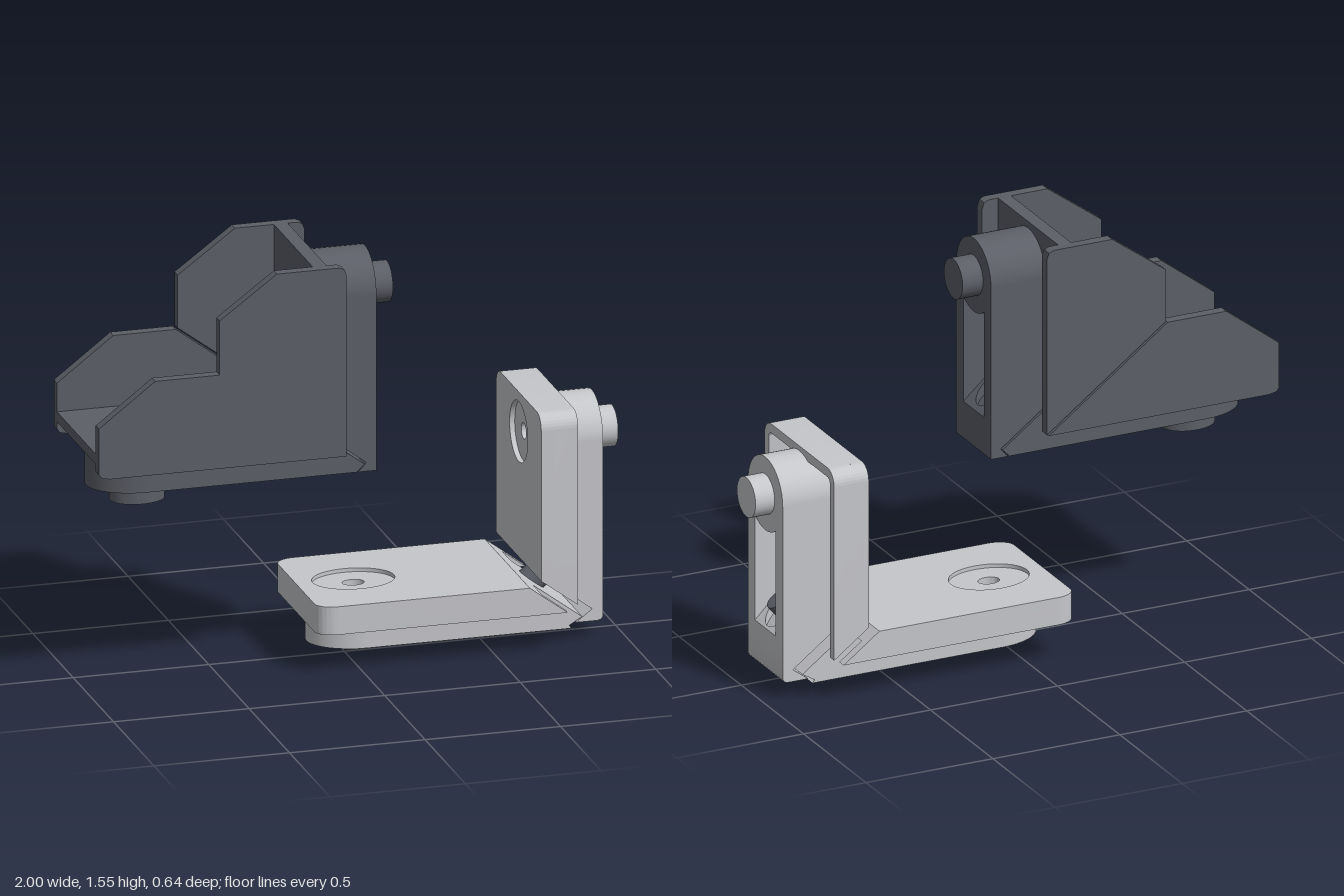
import * as THREE from 'three';
import { toCreasedNormals } from 'three/addons/utils/BufferGeometryUtils.js';

const STRETCH = 1.34; // the brackets are stretched along x
const BODY = 0.14, SLOT = 0.083, PLATE = 0.28;

// Every leg is drawn in (d, u): d = depth inward from the outer face, u = distance from the corner.
const poly = (pts) => new THREE.Shape(pts.map(([a, b]) => new THREE.Vector2(a, b)));

const extrude = (shape, depth) => toCreasedNormals(
  new THREE.ExtrudeGeometry(shape, { depth, bevelEnabled: false, curveSegments: 20 }), 0.6);

// Side profile in (d, u), given a width across z
function profile(pts, width, z = 0) {
  return extrude(poly(pts.map(([d, u]) => [-d, u])), width).translate(0, 0, z - width / 2);
}

// Face outline in (z, u), extruded through the depth d0..d1
function facing(shape, d0, d1) {
  return extrude(shape, d1 - d0).translate(0, 0, d0).rotateY(-Math.PI / 2);
}

// Round peg along the depth axis
function peg(r, d0, d1, u) {
  return new THREE.CylinderGeometry(r, r, d1 - d0, 40).rotateZ(Math.PI / 2).translate(-(d0 + d1) / 2, u, 0);
}

function circle(r, x, y) {
  return new THREE.Path().absarc(x, y, r, 0, Math.PI * 2, true);
}

// Upright tab with two rounded upper corners
function tab(w, u0, u1, r) {
  const s = new THREE.Shape();
  s.moveTo(w, u0);
  s.lineTo(w, u1 - r);
  s.absarc(w - r, u1 - r, r, 0, Math.PI / 2, false);
  s.absarc(r - w, u1 - r, r, Math.PI / 2, Math.PI, false);
  s.lineTo(-w, u0);
  return s;
}

function makeLeg(name, material, o) {
  const leg = new THREE.Group();
  leg.name = name;
  const place = new THREE.Matrix4().makeTranslation(o.x, o.y, o.z)
    .multiply(new THREE.Matrix4().makeScale(STRETCH, 1, 1));
  // The lying leg is the upright one turned over the mitre
  if (o.lying) {
    place.multiply(new THREE.Matrix4().makeBasis(
      new THREE.Vector3(0, -1, 0), new THREE.Vector3(-1, 0, 0), new THREE.Vector3(0, 0, -1)));
  }
  const add = (part, geometry) => {
    const mesh = new THREE.Mesh(geometry.applyMatrix4(place), material);
    mesh.name = part;
    leg.add(mesh);
  };
  const { c, D, p, b, g, E } = o;
  const s = c - 0.515, ramp = c - 0.379, h = 0.045;

  // Mitred foot and slot floor
  add('foot', profile([...o.hook, [p, p + g], [p, c], [b, c], [b, ramp - h], [0, s - h]], BODY * 2));

  // Slot cheeks
  for (const side of [-1, 1]) {
    const w = BODY - SLOT;
    add('slotCheek', profile([[0, s - h], [b, ramp - h], [b, c], [0, c]], w, side * (SLOT + w / 2)));
  }

  // Sloped screw seat with a hole
  const seat = poly([[-SLOT, 0], [SLOT, 0], [SLOT, b], [-SLOT, b]]);
  seat.holes.push(new THREE.Path().absellipse(0, b / 2, 0.064, 0.044, 0, Math.PI * 2, true));
  add('screwSeat', extrude(seat, h).applyMatrix4(new THREE.Matrix4().makeBasis(
    new THREE.Vector3(0, 0, -1), new THREE.Vector3(-1, (ramp - s) / b, 0), new THREE.Vector3(0, 1, 0))
    .setPosition(0, s - h, 0)));

  // Rounded boss and its peg
  add('boss', peg(BODY, 0, p, c));
  add('peg', peg(0.075, -o.peg, 0.01, c));

  if (o.walls) {
    // Flat plate between two stepped side walls
    add('plate', profile([[p, p + g], [D, D + g], [D, E], [p, E]], PLATE * 2 - 0.04));
    for (const front of [1, -1]) {
      const gap = front > 0 ? 0 : g;
      const side = o.lying ? -front : front;
      add('sideWall', profile([[b, b + gap], [0.463, 0.463 + gap], [0.463, E - 0.155], [0.305, E],
        [b + 0.02, E], [b + 0.006, E - 0.008], [b, E - 0.03]], 0.04, side * (PLATE - 0.02)));
    }
  } else {
    // Tray plate: mitred strip, face with a round recess, and a rim behind it
    const u0 = D + g, r = 0.055, lip = 0.035, deep = 0.014;
    add('plateMitre', profile([[p, p + g], [D, u0], [p, u0]], PLATE * 2));
    const layers = [[p, D - deep, 0.03], [D - deep, D, 0.112]];
    for (const [d0, d1, hole] of layers) {
      const face = tab(PLATE, u0, E, r);
      face.holes.push(circle(hole, 0, c + 0.01));
      add('plateFace', facing(face, d0, d1));
    }
    const rim = [...tab(PLATE, u0, E, r).getPoints(12),
      ...tab(PLATE - lip, u0, E - lip, r - lip).getPoints(12).reverse()];
    add('rim', facing(new THREE.Shape(rim), b, p));
    for (const side of [-1, 1]) {
      add('rimMitre', profile([[b, b + g], [p, p + g], [p, u0], [b, u0]], lip, side * (PLATE - lip / 2)));
    }
  }
  return leg;
}

export function createModel() {
  const dark = new THREE.MeshStandardMaterial({ color: 0x5c5f67 });
  dark.name = 'dark grey';
  const light = new THREE.MeshStandardMaterial({ color: 0xc6c7cb });
  light.name = 'light grey';

  const model = new THREE.Group();
  model.name = 'cornerBrackets';

  // Dark walled bracket
  const walled = new THREE.Group();
  walled.name = 'walledBracket';
  const shared = { x: 0.065, y: 0.73, z: 0.04, D: 0.198, p: 0.16, b: 0.113, g: 0.005, walls: true };
  walled.add(
    makeLeg('uprightLeg', dark, { ...shared, c: 0.655, E: 0.82, peg: 0.06,
      hook: [[0, 0], [0.05, 0], [0.028, 0.033]] }),
    makeLeg('lyingLeg', dark, { ...shared, c: 0.629, E: 0.795, peg: 0.065, lying: true,
      hook: [[0, 0.054], [0.028, 0.033]] }));

  // Light tray bracket
  const tray = new THREE.Group();
  tray.name = 'trayBracket';
  tray.add(
    makeLeg('uprightLeg', light, { x: 0.925, y: 0.06, z: -0.04, D: 0.2015, p: 0.165, b: 0.1, g: 0.015,
      c: 0.675, E: 0.833, peg: 0.056, hook: [[0, 0.015], [0.005, 0.004], [0.015, 0], [0.075, 0], [0.03, 0.045]] }),
    makeLeg('lyingLeg', light, { x: 0.885, y: 0.04, z: -0.04, D: 0.215, p: 0.175, b: 0.11, g: -0.012,
      c: 0.617, E: 0.784, peg: 0.025, lying: true, hook: [[0, 0.078], [0.04, 0.028]] }));

  // Diagonal screw joining the two light legs
  const screw = new THREE.Group();
  screw.name = 'screw';
  const sections = [['screwHead', 0.075, 0.075, 0, 0.05], ['screwNeck', 0.045, 0.075, 0.05, 0.08],
    ['screwShaft', 0.045, 0.045, 0.08, 0.34], ['screwTip', 0.036, 0.045, 0.34, 0.38]];
  for (const [name, top, bottom, a, z] of sections) {
    const g = new THREE.CylinderGeometry(top, bottom, z - a, 32).translate(0, (a + z) / 2, 0)
      .rotateZ(-Math.PI / 4).scale(STRETCH, 1, 1).translate(0.52, 0.053, -0.04);
    const mesh = new THREE.Mesh(g, dark);
    mesh.name = name;
    screw.add(mesh);
  }
  tray.add(screw);

  model.add(walled, tray);
  return model;
}
